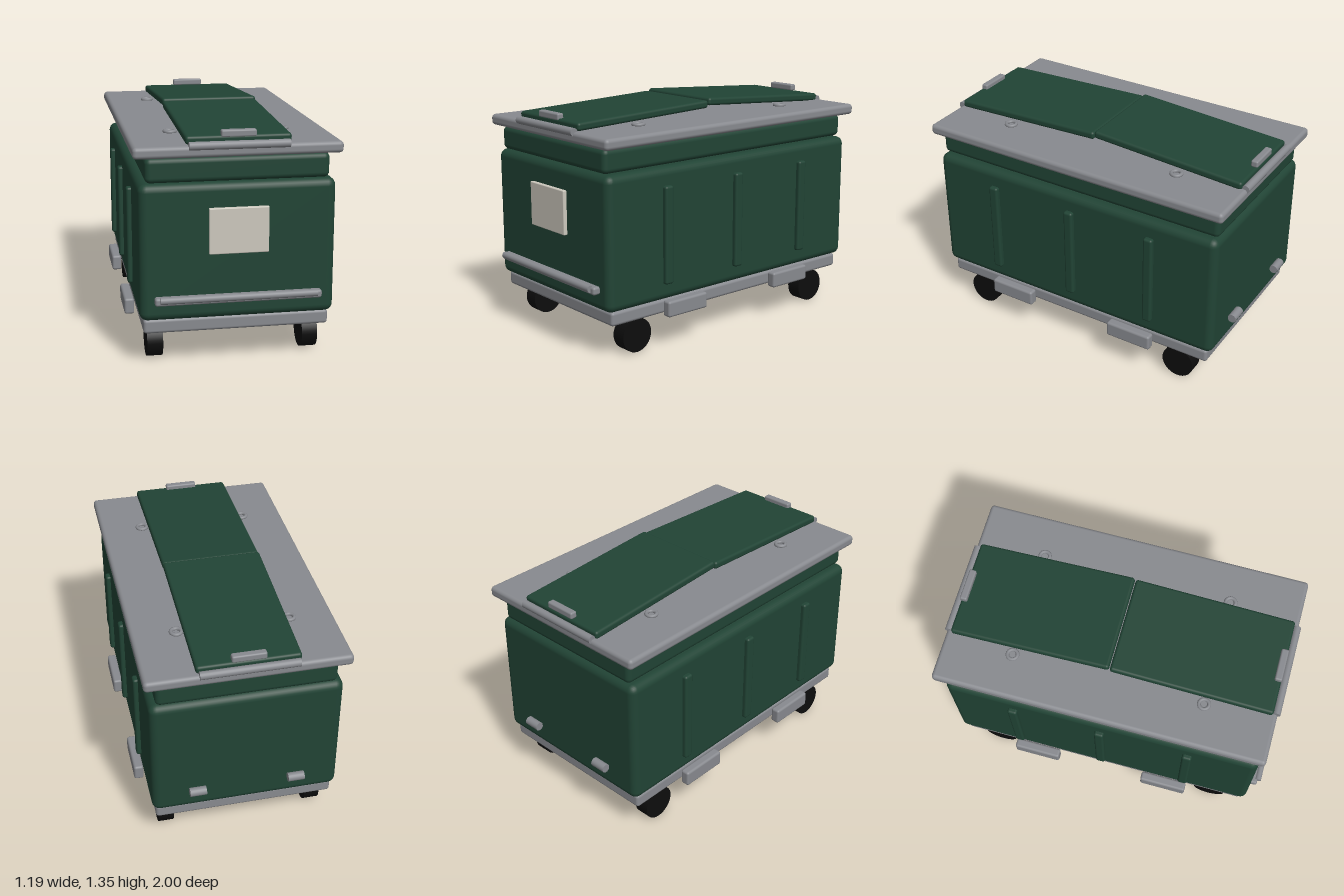
import * as THREE from 'three';
import { RoundedBoxGeometry } from 'three/addons/geometries/RoundedBoxGeometry.js';

const material = (name, color) => {
  const m = new THREE.MeshStandardMaterial({ color });
  m.name = name;
  return m;
};

export function createModel() {
  const green = material('dark green', 0x214435);
  const grey = material('steel grey', 0x888a8f);
  const cream = material('label cream', 0xcdc9be);
  const black = material('tyre black', 0x0d0d0d);
  const model = new THREE.Group();
  model.name = 'wheeledContainer';

  const add = (name, geometry, mat, x, y, z) => {
    const mesh = new THREE.Mesh(geometry, mat);
    mesh.name = name;
    mesh.position.set(x, y, z);
    model.add(mesh);
    return mesh;
  };
  // Rounded box given by size [w, h, d] and centre [x, y, z]
  const box = (name, mat, [w, h, d], [x, y, z], r) =>
    add(name, new RoundedBoxGeometry(w, h, d, 3, r), mat, x, y, z);
  // Cylinder lying along x
  const rod = (name, mat, r, length, [x, y, z], sides = 20) =>
    add(name, new THREE.CylinderGeometry(r, r, length, sides).rotateZ(Math.PI / 2), mat, x, y, z);

  // Stacked main volumes
  box('base', grey, [1.042, 0.082, 1.812], [0, 0.241, -0.008], 0.018);
  box('body', green, [1.086, 0.768, 1.885], [0, 0.666, -0.008], 0.045);
  box('upperRim', green, [1.01, 0.137, 1.865], [0, 1.1215, -0.008], 0.03);
  box('topSlab', grey, [1.142, 0.064, 1.945], [0, 1.225, -0.014], 0.022);

  // Two tilted lids meeting in the middle
  const frontLid = box('frontLid', green, [0.576, 0.046, 0.945], [0, 1.3, 0.459], 0.016);
  frontLid.rotation.x = 0.037;
  const backLid = box('backLid', green, [0.576, 0.046, 0.94], [0, 1.302, -0.487], 0.016);
  backLid.rotation.x = -0.062;

  // Lid grips and hinge rods at both ends
  box('frontLidGrip', grey, [0.192, 0.04, 0.042], [0, 1.314, 0.912], 0.01);
  box('backLidGrip', grey, [0.192, 0.04, 0.042], [0, 1.316, -0.938], 0.01);
  rod('frontHinge', grey, 0.023, 0.546, [0, 1.257, 0.95]);
  rod('backHinge', grey, 0.023, 0.546, [0, 1.257, -0.975]);

  // Label and push bar on the front
  box('frontLabel', cream, [0.33, 0.257, 0.026], [0, 0.786, 0.944], 0.006);
  box('barMount', grey, [0.928, 0.046, 0.05], [0, 0.406, 0.953], 0.014);
  rod('pushBar', grey, 0.02, 0.87, [0, 0.417, 0.979]);

  for (const side of [-1, 1]) {
    // Stiffening ribs
    for (const z of [0.523, -0.008, -0.538])
      box('sideRib', green, [0.06, 0.566, 0.058], [side * 0.541, 0.665, z], 0.014);
    // Lifting pockets
    for (const z of [0.405, -0.428])
      box('liftPocket', grey, [0.057, 0.094, 0.29], [side * 0.5645, 0.24, z], 0.014);
    // Wheels
    for (const z of [0.7, -0.714])
      rod('wheel', black, 0.1, 0.09, [side * 0.446, 0.1, z], 32);
    // Rings on the top slab
    for (const z of [0.545, -0.577])
      add('topRing', new THREE.TorusGeometry(0.029, 0.011, 10, 28).rotateX(Math.PI / 2),
        grey, side * 0.32, 1.262, z);
    // Short handles on the back
    rod('backHandle', grey, 0.026, 0.095, [side * 0.286, 0.421, -0.974]);
  }
  return model;
}
